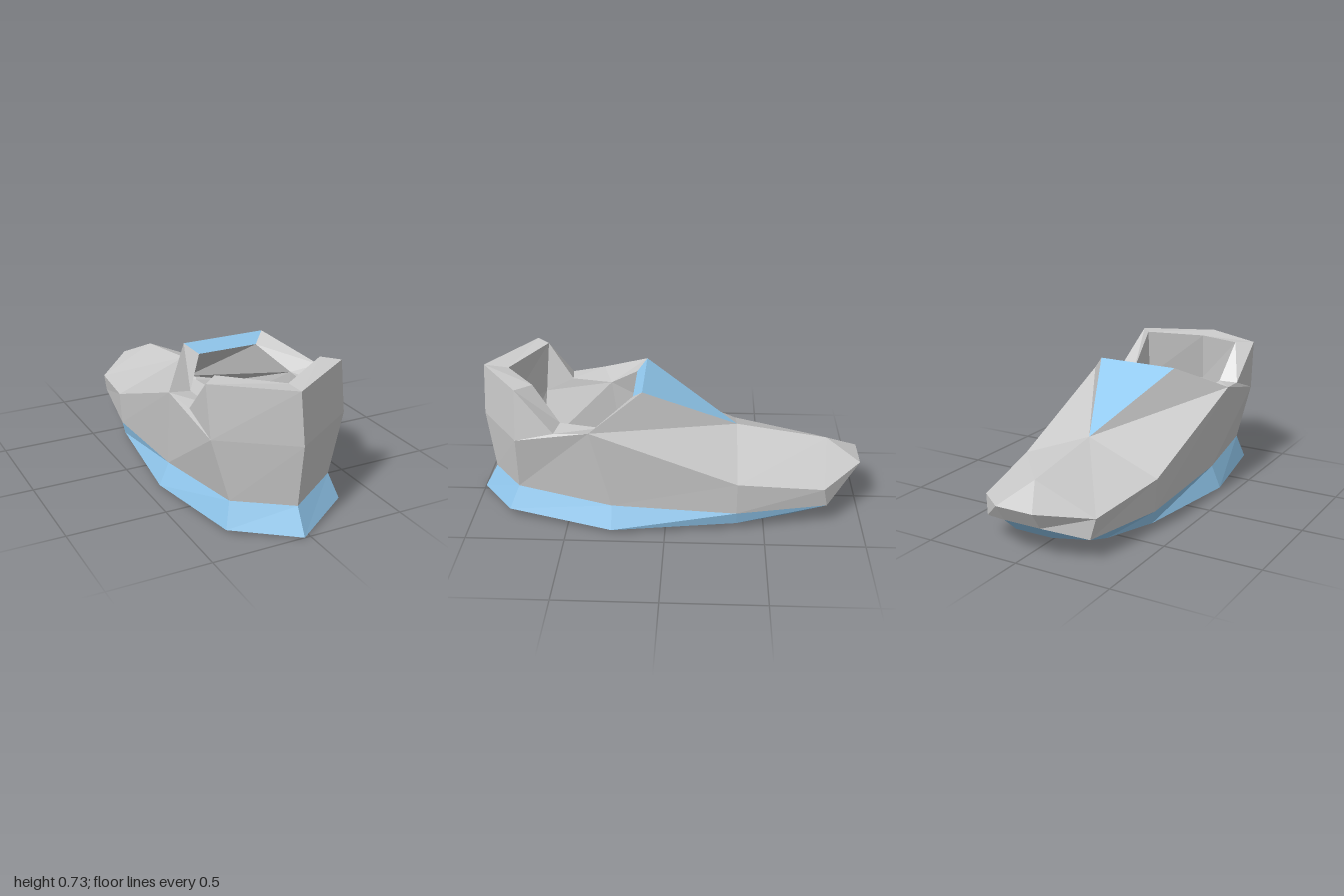
import * as THREE from 'three';

const GREY = 0xcccccc, BLUE = 0x91c8ee;

// Closed loop: heel centre, right points from heel to toe, left points back to the heel
const mirror = (pts) => pts.map(([x, y, z]) => [-x, y, z]);
const loop = (heel, right, left = []) => {
  const l = mirror(right).map((p, i) => left[i] ?? p);
  return [heel, ...right, ...l.reverse()];
};

// Flat-shaded mesh from convex polygons
function polyMesh(name, color, faces) {
  const pos = [];
  for (const f of faces)
    for (let i = 1; i < f.length - 1; i++) pos.push(...f[0], ...f[i], ...f[i + 1]);
  const geo = new THREE.BufferGeometry();
  geo.setAttribute('position', new THREE.Float32BufferAttribute(pos, 3));
  geo.computeVertexNormals();
  const mat = new THREE.MeshStandardMaterial({ color, flatShading: true, side: THREE.DoubleSide });
  const mesh = new THREE.Mesh(geo, mat);
  mesh.name = name;
  return mesh;
}

// Quads between a lower and an upper loop
const band = (lo, hi) => lo.map((p, i) => {
  const j = (i + 1) % lo.length;
  return [p, lo[j], hi[j], hi[i]];
});

// Upward-facing floor across a loop, in rows from heel to toe
function floorOf(r) {
  const n = r.length, faces = [[r[0], r[1], r[n - 1]]];
  for (let i = 1; i < (n - 1) / 2; i++) faces.push([r[i], r[i + 1], r[n - i - 1], r[n - i]]);
  return faces;
}

const flip = (faces) => faces.map((f) => [...f].reverse());

// Shoe shell. base and belt: heel, corner, side, middle, toe side, toe front.
// collar: heel, corner, dip, side, tongue corner.
function shell(base, belt, collar, ridge, toeTop) {
  const faces = band(base, belt);
  const half = (b, c) => [
    [b[1], b[2], c[2]],             // ankle side below the dip
    [b[0], b[1], c[1], c[0]],       // heel counter
    [b[1], c[2], c[1]],             // heel wing
    [b[2], b[3], ridge],            // instep
    [b[3], b[4], toeTop, ridge],    // vamp
    [b[4], b[5], toeTop],           // toe corner
    [b[2], ridge, c[4]],            // tongue side
  ];
  const other = (r) => [r[0], ...r.slice(1).reverse()];
  faces.push(...half(belt, collar), ...flip(half(other(belt), other(collar))));
  faces.push([belt[5], belt[6], toeTop]);
  return faces;
}

export function createModel() {
  const shoe = new THREE.Group();
  shoe.name = 'shoe';

  // Sole loops
  const soleBottom = loop([-0.03, 0, 1],
    [[0.275, 0.04, 0.81], [0.43, 0.02, 0.27], [0.36, 0.035, -0.36], [0.27, 0.045, -0.64], [0.1, 0.09, -0.85]],
    [[-0.335, 0.02, 0.81]]);
  const soleTop = loop([-0.03, 0.13, 0.93],
    [[0.24, 0.16, 0.76], [0.38, 0.135, 0.27], [0.375, 0.1, -0.36], [0.29, 0.11, -0.82], [0.1, 0.17, -0.94]],
    [[-0.3, 0.145, 0.77]]);

  // Outer upper loops
  const belt = loop([-0.03, 0.445, 0.97],
    [[0.32, 0.46, 0.75], [0.415, 0.555, 0.37], [0.385, 0.27, -0.36], [0.31, 0.21, -0.8], [0.1, 0.26, -1]],
    [[-0.385, 0.46, 0.75]]);
  const rimOuter = loop([-0.05, 0.71, 0.96],
    [[0.3, 0.725, 0.74], [0.355, 0.52, 0.55], [0.415, 0.555, 0.37], [0.22, 0.69, 0.12]],
    [[-0.4, 0.725, 0.73], [-0.39, 0.535, 0.54]]);
  const ridge = [0, 0.42, -0.36], toeTop = [0, 0.35, -0.83];

  // Lining loops
  const insole = loop([-0.03, 0.14, 0.85],
    [[0.17, 0.15, 0.69], [0.29, 0.13, 0.27], [0.29, 0.11, -0.35], [0.23, 0.13, -0.68], [0.07, 0.16, -0.82]],
    [[-0.21, 0.15, 0.7]]);
  const liningBelt = loop([-0.03, 0.44, 0.86],
    [[0.23, 0.46, 0.68], [0.28, 0.52, 0.32], [0.3, 0.24, -0.33], [0.24, 0.19, -0.7], [0.08, 0.22, -0.86]],
    [[-0.29, 0.46, 0.68]]);
  const rimInner = loop([-0.04, 0.7, 0.83],
    [[0.23, 0.725, 0.66], [0.25, 0.53, 0.53], [0.28, 0.52, 0.32], [0.16, 0.64, 0.17]],
    [[-0.32, 0.728, 0.66], [-0.29, 0.535, 0.53]]);
  const liningRidge = [0, 0.33, -0.3], liningToe = [0, 0.27, -0.75];

  // Rim of the opening; segment 4 is the tongue's edge
  const rim = band(rimOuter, rimInner);
  const tongueEdge = rim.splice(4, 1)[0];

  shoe.add(
    polyMesh('sole', BLUE, [...band(soleBottom, soleTop), ...flip(floorOf(soleBottom))]),
    polyMesh('upper', GREY, shell(soleTop, belt, rimOuter, ridge, toeTop)),
    polyMesh('collarRim', GREY, rim),
    polyMesh('tongue', BLUE, [[rimOuter[4], ridge, rimOuter[5]], tongueEdge]),
    polyMesh('lining', GREY, [
      ...flip(shell(insole, liningBelt, rimInner, liningRidge, liningToe)),
      [rimInner[5], liningRidge, rimInner[4]],
    ]),
    polyMesh('insole', GREY, floorOf(insole)),
  );
  return shoe;
}
